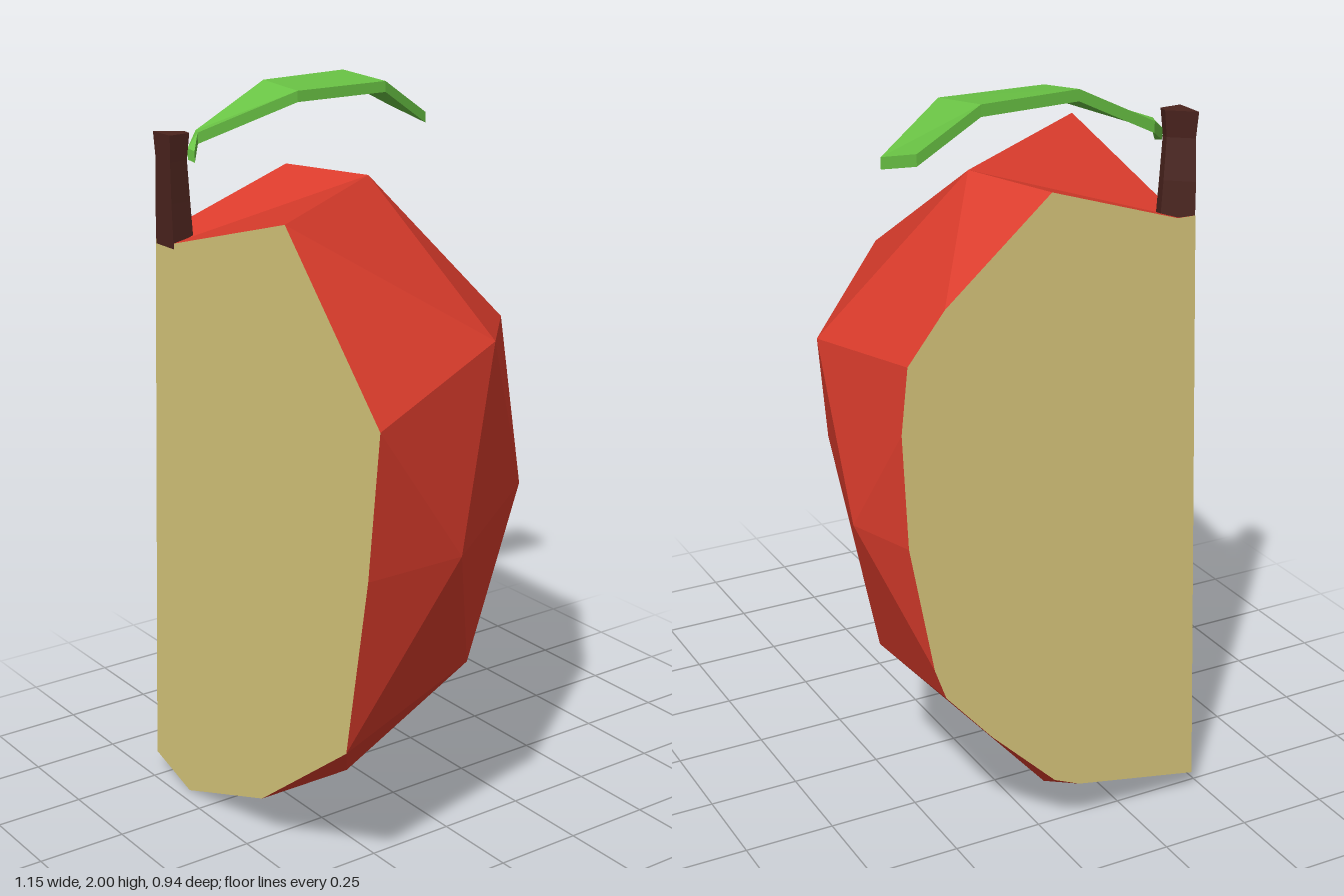
import * as THREE from 'three';

const V = (x, y, z) => new THREE.Vector3(x, y, z);
const AXIS_X = -0.36, CUT_Z = 0.465;

// Flat-shaded mesh from a list of triangles (each three Vector3)
function mesh(name, tris, color) {
  const g = new THREE.BufferGeometry().setFromPoints(tris.flat());
  g.computeVertexNormals();
  const m = new THREE.Mesh(g, new THREE.MeshStandardMaterial({ color, flatShading: true }));
  m.name = name;
  return m;
}

// Faceted whole fruit: a subdivided icosahedron with its own ring radii and heights
function wholeFruit() {
  const P = (deg, r, y) => {
    const a = THREE.MathUtils.degToRad(deg);
    return V(AXIS_X + r * Math.cos(a), y, CUT_Z - r * Math.sin(a));
  };
  const T = P(0, 0, 1.61), S = P(0, 0, 0);
  const R = k => P(72 * k, 0.55, 1.76);        // rim round the dimple
  const N = k => P(72 * k + 36, 0.89, 1.42);   // shoulder
  const M = k => P(72 * k, 0.94, 1.335);
  const Q = j => P(36 * j + 18, 0.934, 0.94);  // widest ring
  const L = k => P(72 * k + 36, 0.825, 0.52);
  const U = k => P(72 * k, 0.79, 0.44);
  const W = k => P(72 * k + 36, 0.48, 0.14);   // base
  const tris = [];
  for (let k = 0; k < 5; k++) {
    const a = Q(2 * k - 1), b = Q(2 * k), c = Q(2 * k + 1), n = k + 1;
    tris.push(
      [T, R(k), R(n)], [R(k), N(k), R(n)], [R(k), M(k), N(k)], [R(n), N(k), M(n)],
      [N(k), b, c], [M(k), b, N(k)], [N(k), c, M(n)], [M(k), a, b],
      [b, L(k), c], [a, U(k), b], [b, U(k), L(k)], [c, L(k), U(n)],
      [U(k), W(k), L(k)], [L(k), W(k), U(n)], [U(k), W(k - 1), W(k)], [W(k - 1), S, W(k)]);
  }
  return tris;
}

// Keep the part of the triangles behind a plane; also return the points on the cut
function clip(tris, plane) {
  const eps = 1e-6, out = [], rim = [];
  for (const t of tris) {
    const poly = [];
    t.forEach((p, i) => {
      const q = t[(i + 1) % 3];
      const d = plane.distanceToPoint(p), e = plane.distanceToPoint(q);
      if (d <= eps) poly.push(p);
      if ((d > eps && e < -eps) || (d < -eps && e > eps)) poly.push(p.clone().lerp(q, d / (d - e)));
    });
    if (poly.length < 3) continue;
    for (let i = 2; i < poly.length; i++) out.push([poly[0], poly[i - 1], poly[i]]);
    for (const p of poly) {
      if (Math.abs(plane.distanceToPoint(p)) < 1e-5 && !rim.some(r => r.distanceTo(p) < 1e-4)) rim.push(p);
    }
  }
  return { tris: out, rim };
}

// Flat cap: fan round the middle of the cut points
function cap(points, normal) {
  const mid = V(0, 0, 0);
  points.forEach(p => mid.addScaledVector(p, 1 / points.length));
  const u = V(0, 1, 0).cross(normal).normalize(), v = normal.clone().cross(u);
  const angle = p => { const d = p.clone().sub(mid); return Math.atan2(d.dot(v), d.dot(u)); };
  const ring = [...points].sort((p, q) => angle(p) - angle(q));
  return ring.map((p, i) => [mid, p, ring[(i + 1) % ring.length]]);
}

// Closed solid through equal-sized cross-sections
function loft(sections) {
  const tris = [], n = sections[0].length, end = sections[sections.length - 1];
  for (let s = 0; s + 1 < sections.length; s++) {
    const a = sections[s], b = sections[s + 1];
    for (let i = 0; i < n; i++) {
      const j = (i + 1) % n;
      tris.push([a[i], a[j], b[j]], [a[i], b[j], b[i]]);
    }
  }
  for (let i = 2; i < n; i++) {
    tris.push([sections[0][0], sections[0][i], sections[0][i - 1]], [end[0], end[i - 1], end[i]]);
  }
  return tris;
}

export function createModel() {
  const group = new THREE.Group();
  group.name = 'fruitSlice';

  // Two cuts: straight across the front, and a slightly leaning one at the side
  const front = new THREE.Plane().setFromNormalAndCoplanarPoint(V(0, 0, 1), V(0, 0, CUT_Z));
  const side = new THREE.Plane().setFromNormalAndCoplanarPoint(
    V(-1, 0.068, 0.08).normalize(), V(-0.54, 0.05, CUT_Z));
  const half = clip(wholeFruit(), front);
  const skin = clip(half.tris, side);
  const frontFlesh = clip(cap(half.rim, front.normal), side);
  const rim = [...skin.rim];
  frontFlesh.rim.forEach(p => { if (!rim.some(r => r.distanceTo(p) < 1e-4)) rim.push(p); });
  group.add(mesh('skin', skin.tris, 0xdb3c2c));
  group.add(mesh('frontFlesh', frontFlesh.tris, 0xd6c57a));
  group.add(mesh('sideFlesh', cap(rim, side.normal), 0xd6c57a));

  // Stem: half a hexagon, slightly waisted, cut flush with the front
  const stemRing = [[0.045, 0], [0.04, -0.065], [0.01, -0.07], [-0.045, 0]];
  const stem = [[1.6, 1, -0.385], [1.72, 0.92, -0.385], [1.83, 0.82, -0.38], [1.9, 0.95, -0.383]].map(
    ([y, s, x]) => stemRing.map(([dx, dz]) => V(x + dx * s, y, CUT_Z + 0.001 + dz * s)));
  group.add(mesh('stem', loft(stem), 0x4a231d));

  // Leaf: arched strip; each row is left x, y, z then right x, y, z of the top edge
  const leaf = [
    [-0.372, 1.855, 0.395, -0.345, 1.85, 0.39],
    [-0.42, 1.89, 0.34, -0.385, 1.89, 0.355],
    [-0.44, 2.0, 0.11, -0.305, 1.985, 0.09],
    [-0.465, 2.0, -0.17, -0.305, 1.985, -0.2],
    [-0.49, 1.91, -0.35, -0.36, 1.875, -0.38],
  ].map(([lx, ly, lz, rx, ry, rz]) => [
    V(lx, ly, lz), V(rx, ry, rz), V(rx, ry - 0.03, rz), V(lx, ly - 0.03, lz)]);
  group.add(mesh('leaf', loft(leaf), 0x69c244));
  return group;
}
